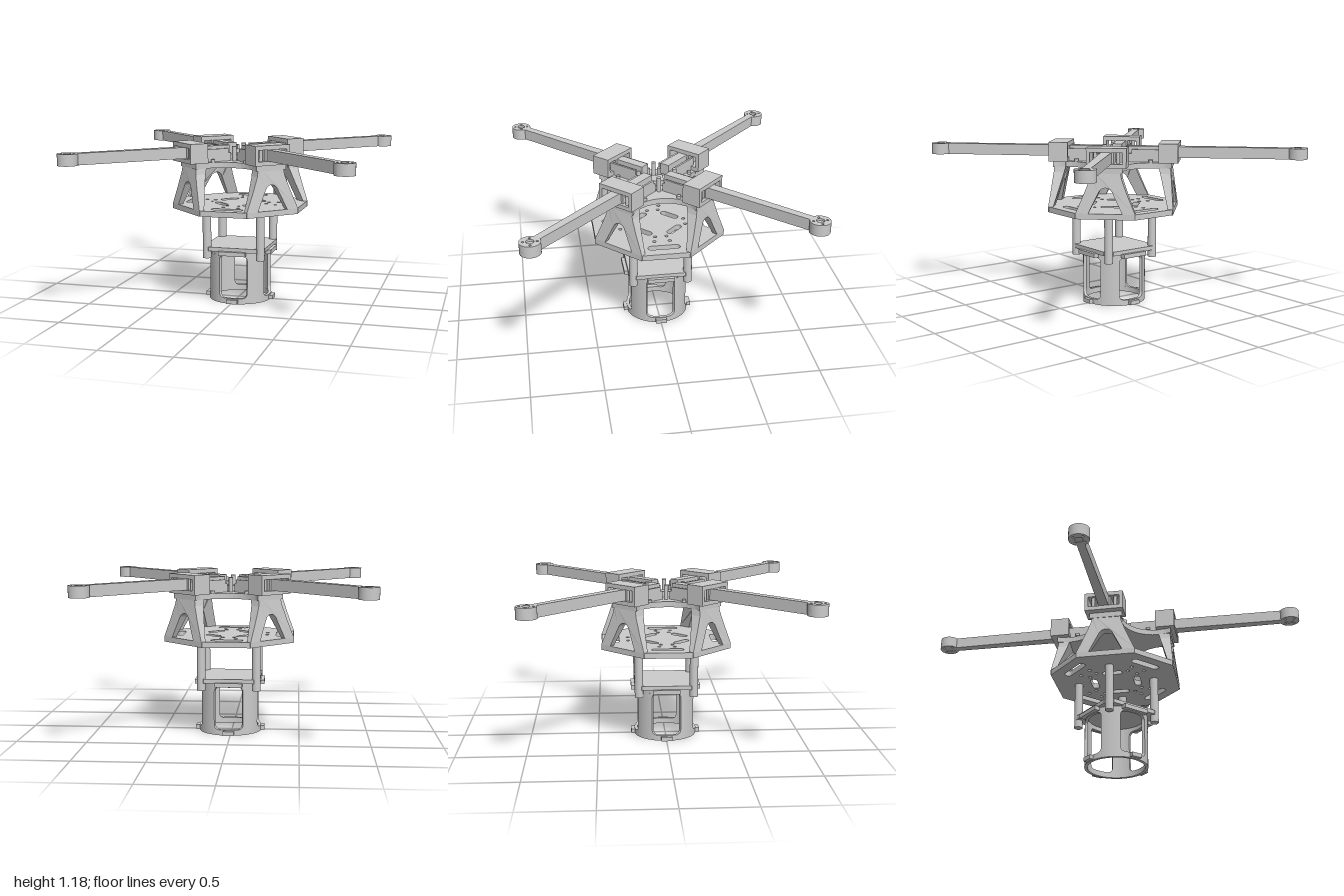
import * as THREE from 'three';

const mat = new THREE.MeshStandardMaterial({ color: 0xcccccc, side: THREE.DoubleSide });

function add(parent, geo, name, x = 0, y = 0, z = 0) {
  const m = new THREE.Mesh(geo, mat);
  m.name = name;
  m.position.set(x, y, z);
  parent.add(m);
  return m;
}
// Box given by its extents
function box(parent, name, x0, x1, y0, y1, z0, z1) {
  return add(parent, new THREE.BoxGeometry(x1 - x0, y1 - y0, z1 - z0), name,
    (x0 + x1) / 2, (y0 + y1) / 2, (z0 + z1) / 2);
}
// Flat plan shape raised from y0 to y1
function slab(parent, name, shape, y0, y1) {
  const g = new THREE.ExtrudeGeometry(shape, { depth: y1 - y0, bevelEnabled: false, curveSegments: 24 });
  return add(parent, g.rotateX(-Math.PI / 2), name, 0, y0, 0);
}
const poly = pts => new THREE.Shape(pts.map(p => new THREE.Vector2(...p)));
const circle = (x, y, r) => new THREE.Path().absarc(x, y, r, 0, Math.PI * 2, true);
// Rounded slot of half length a, half width b, turned by ang
function slot(x, y, a, b, ang) {
  const dx = Math.cos(ang) * (a - b), dy = Math.sin(ang) * (a - b);
  return new THREE.Path()
    .absarc(x + dx, y + dy, b, ang - Math.PI / 2, ang + Math.PI / 2, false)
    .absarc(x - dx, y - dy, b, ang + Math.PI / 2, ang + Math.PI * 1.5, false)
    .closePath();
}
const chamferSquare = (h, c) => poly([[h, -c], [h, c], [c, h], [-c, h], [-h, c], [-h, -c], [-c, -h], [c, -h]]);
// Annulus plan shape
function annulus(ro, ri) {
  const s = new THREE.Shape().absarc(0, 0, ro, 0, Math.PI * 2, false);
  s.holes.push(circle(0, 0, ri));
  return s;
}

// Arched, tapering leg; local x is outward
function legGeometry() {
  const s = poly([[-0.21, 0.68], [0.21, 0.68], [0.21, 0.72], [0.15, 0.86], [0.112, 0.96], [0.105, 1.0],
    [0.105, 1.04], [-0.105, 1.04], [-0.105, 1.0], [-0.112, 0.96], [-0.15, 0.86], [-0.21, 0.72]]);
  const arch = new THREE.Path().moveTo(-0.12, 0.72);
  arch.lineTo(-0.052, 0.86);
  arch.quadraticCurveTo(-0.035, 0.9, 0, 0.9);
  arch.quadraticCurveTo(0.035, 0.9, 0.052, 0.86);
  arch.lineTo(0.12, 0.72);
  s.holes.push(arch);
  const g = new THREE.ExtrudeGeometry(s, { depth: 1, bevelEnabled: false, curveSegments: 8 });
  const p = g.attributes.position;
  for (let i = 0; i < p.count; i++) {
    const t = p.getX(i), y = p.getY(i), d = p.getZ(i);
    const k = THREE.MathUtils.clamp((y - 0.72) / 0.28, 0, 1);
    const inner = THREE.MathUtils.lerp(0.415, 0.34, k), outer = THREE.MathUtils.lerp(0.4525, 0.424, k);
    p.setXYZ(i, THREE.MathUtils.lerp(inner, outer, d), y, -t);
  }
  g.computeVertexNormals();
  return g;
}

// Curved cage column that flares into the rings; centred on local +x
function columnGeometry(ro, ri, y0, y1) {
  const N = 12, rows = [], half = 0.31, fil = 0.035, pos = [], idx = [];
  for (let i = 0; i <= 6; i++) rows.push(i / 6 * fil);
  const ys = [...rows.map(v => y0 + v), ...rows.map(v => y1 - v).reverse()];
  for (const y of ys) {
    const e = Math.min(1, Math.min(y - y0, y1 - y) / fil);
    const a = half + (fil / ro) * (1 - Math.sqrt(Math.max(0, 1 - (1 - e) ** 2)));
    for (const [r, dir] of [[ro, 1], [ri, -1]])
      for (let j = 0; j <= N; j++) {
        const th = dir * a * (2 * j / N - 1);
        pos.push(r * Math.cos(th), y, -r * Math.sin(th));
      }
  }
  const n = 2 * (N + 1);
  for (let i = 0; i < ys.length - 1; i++)
    for (let j = 0; j < n; j++) {
      const a = i * n + j, b = i * n + (j + 1) % n;
      idx.push(a, b, b + n, a, b + n, a + n);
    }
  let g = new THREE.BufferGeometry();
  g.setAttribute('position', new THREE.Float32BufferAttribute(pos, 3));
  g.setIndex(idx);
  g = g.toNonIndexed();
  g.computeVertexNormals();
  return g;
}

// Arm with motor seat and clamp bracket; local x is outward
function armAssembly() {
  const g = new THREE.Group();
  slab(g, 'arm', poly([[0.1, -0.036], [0.42, -0.036], [1.27, -0.027], [1.27, 0.027], [0.42, 0.036], [0.1, 0.036]]), 1.07, 1.15);
  // motor seat
  const c = 1.316;
  const seat = new THREE.Shape().absarc(c, 0, 0.07, 0, Math.PI * 2, false);
  seat.holes.push(circle(c, 0, 0.027));
  for (let k = 0; k < 4; k++) {
    const a = Math.PI / 4 + k * Math.PI / 2;
    seat.holes.push(circle(c + 0.046 * Math.cos(a), 0.046 * Math.sin(a), 0.008));
  }
  slab(g, 'motorSeat', seat, 1.07, 1.15);
  add(g, new THREE.CylinderGeometry(0.027, 0.027, 0.06, 24), 'motorSeatFloor', c, 1.105, 0);
  // clamp bracket, open along the arm
  box(g, 'bracketTop', 0.33, 0.47, 1.15, 1.18, -0.14, 0.14);
  box(g, 'bracketBottom', 0.33, 0.47, 1.04, 1.07, -0.14, 0.14);
  for (const s of [-1, 1]) {
    const wall = (name, x0, x1, y0, y1, a, b) => box(g, name, x0, x1, y0, y1, Math.min(s * a, s * b), Math.max(s * a, s * b));
    wall('bracketSide', 0.33, 0.47, 1.07, 1.15, 0.115, 0.14);
    wall('bracketDivider', 0.33, 0.45, 1.07, 1.15, 0.036, 0.05);
    // rails and bolts beside the arm root
    wall('rail', 0.13, 0.36, 1.04, 1.13, 0.06, 0.075);
    wall('rootBlock', 0.11, 0.16, 1.04, 1.1, 0.036, 0.075);
    add(g, new THREE.CylinderGeometry(0.013, 0.013, 0.08, 16), 'clampPin', 0.44, 1.11, s * 0.08);
    add(g, new THREE.CylinderGeometry(0.015, 0.015, 0.02, 16), 'plateBolt', 0.27, 1.05, s * 0.1);
  }
  return g;
}

export function createModel() {
  const root = new THREE.Group();
  root.name = 'quadcopterFrame';
  const body = new THREE.Group();
  body.name = 'body';
  body.position.x = 0.012;
  root.add(body);

  // Upper plate with four scooped sides
  const upper = new THREE.Shape().moveTo(0.389, 0.219);
  const half = Math.atan2(0.219, 0.0866);
  for (let k = 0; k < 4; k++) {
    const a = Math.PI / 2 * (k + 1);
    upper.absarc(0.4756 * Math.cos(a), 0.4756 * Math.sin(a), 0.2356, a + half + Math.PI - 2 * half + Math.PI + half, a + half + Math.PI - half * 2 + half + half - half + half - Math.PI + half + Math.PI - half + half - half + half - half + Math.PI - Math.PI + half - half, true);
  }
  upper.curves.length = 0;
  const rim = [];
  for (let k = 0; k < 4; k++)
    for (let i = 0; i <= 16; i++) {
      const a = k * Math.PI / 2, b = a + Math.PI + half * (1 - i / 8);
      rim.push([0.4756 * Math.cos(a) + 0.2356 * Math.cos(b), 0.4756 * Math.sin(a) + 0.2356 * Math.sin(b)]);
    }
  slab(body, 'upperPlate', poly(rim), 1.0, 1.04);

  // Lower octagonal plate with slots and bolt holes
  const lower = chamferSquare(0.465, 0.17);
  for (let k = 0; k < 4; k++) {
    const a = k * Math.PI / 2, d = a + Math.PI / 4;
    lower.holes.push(slot(0.365 * Math.cos(a), 0.365 * Math.sin(a), 0.115, 0.027, a + Math.PI / 2));
    lower.holes.push(slot(0.16 * Math.cos(d), 0.16 * Math.sin(d), 0.075, 0.025, d + Math.PI / 2));
    for (const o of [-0.2, 0.2])
      for (const r of [0.21, 0.28]) lower.holes.push(circle(r * Math.cos(a + o), r * Math.sin(a + o), 0.013));
  }
  slab(body, 'lowerPlate', lower, 0.68, 0.72);

  // Standoffs and the plate they carry
  for (const x of [-0.2, 0.2])
    for (const z of [-0.2, 0.2]) {
      add(body, new THREE.CylinderGeometry(0.031, 0.031, 0.3, 24), 'standoff', x, 0.54, z);
      add(body, new THREE.CylinderGeometry(0.031, 0.031, 0.07, 24), 'standoffFoot', x, 0.365, z);
    }
  slab(body, 'mountPlate', chamferSquare(0.23, 0.18), 0.385, 0.415);

  // Cylindrical cage
  slab(body, 'cageBottomRing', annulus(0.23, 0.207), 0, 0.04);
  slab(body, 'cageTopRing', annulus(0.23, 0.207), 0.355, 0.39);
  const column = columnGeometry(0.23, 0.207, 0.04, 0.355);
  const leg = legGeometry();
  for (let k = 0; k < 4; k++) {
    const a = k * Math.PI / 2, d = a + Math.PI / 4;
    add(body, column, 'cageColumn').rotation.y = d;
    add(body, leg, 'leg').rotation.y = d;
    const tabs = new THREE.Group();
    tabs.name = 'cageTabs';
    tabs.rotation.y = a;
    box(tabs, 'upperTab', 0.215, 0.255, 0.36, 0.39, -0.1, 0.1);
    box(tabs, 'lowerTab', 0.215, 0.255, 0.005, 0.035, -0.04, 0.04);
    body.add(tabs);
    const arm = armAssembly();
    arm.name = 'armAssembly';
    arm.rotation.y = d;
    root.add(arm);
    // hub bolts between the arm roots
    add(root, new THREE.CylinderGeometry(0.016, 0.016, 0.11, 16), 'hubBolt', 0.13 * Math.cos(a), 1.09, 0.13 * Math.sin(a));
  }
  // Centre hub
  box(root, 'hub', -0.05, 0.05, 1.04, 1.08, -0.05, 0.05);
  return root;
}
